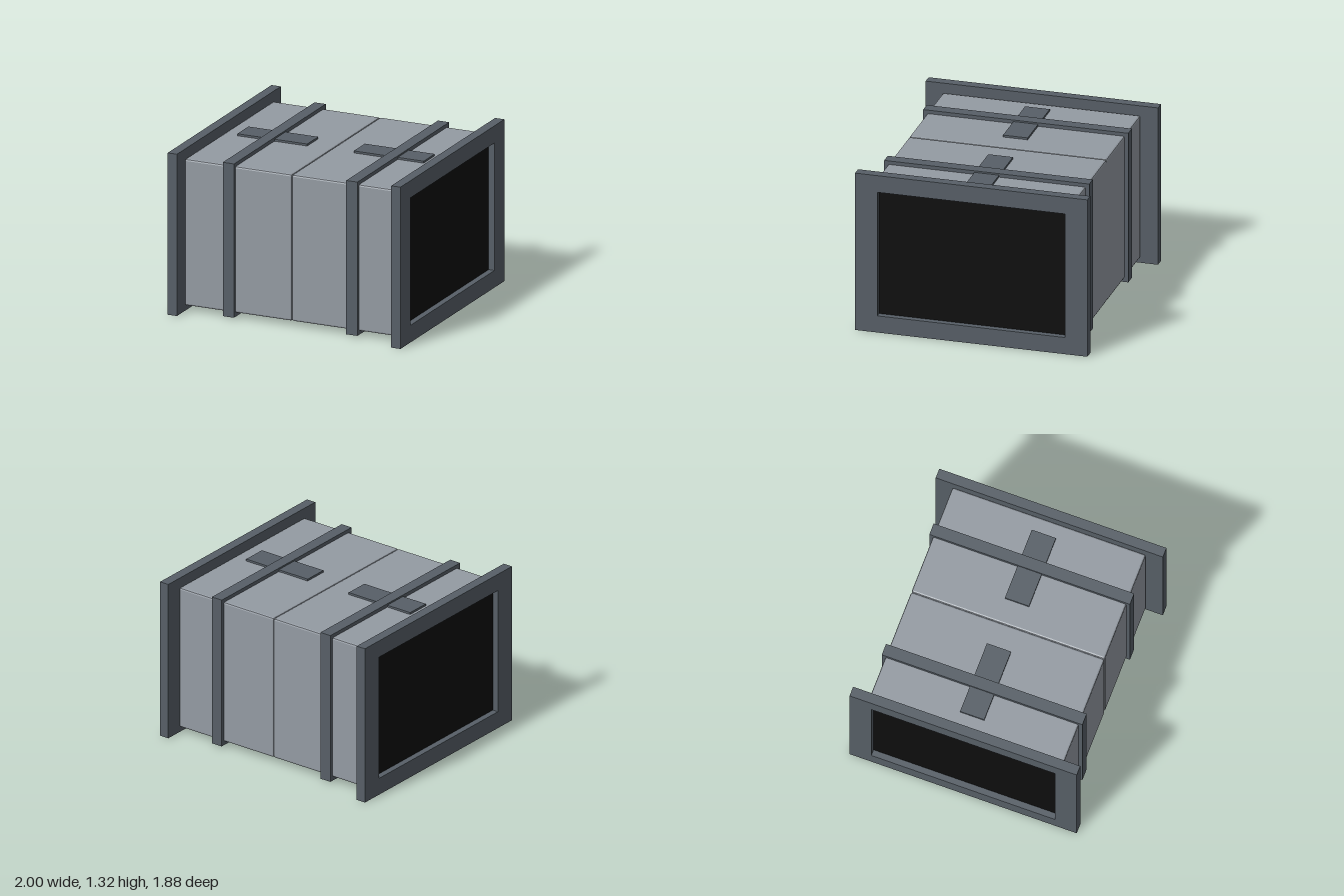
import * as THREE from 'three';
import { RoundedBoxGeometry } from 'three/addons/geometries/RoundedBoxGeometry.js';

const MID_Y = 0.643;

function material(color) {
  return new THREE.MeshStandardMaterial({ color, flatShading: true });
}

// Rectangular ring lying in the z-y plane, extruded along x and centred on x = 0
function ringGeometry(width, y0, y1, holeWidth, h0, h1, thickness) {
  const rect = (target, w, a, b) => {
    target.moveTo(-w / 2, a);
    target.lineTo(w / 2, a);
    target.lineTo(w / 2, b);
    target.lineTo(-w / 2, b);
    target.closePath();
    return target;
  };
  const shape = rect(new THREE.Shape(), width, y0, y1);
  shape.holes.push(rect(new THREE.Path(), holeWidth, h0, h1));
  const geometry = new THREE.ExtrudeGeometry(shape, { depth: thickness, bevelEnabled: false });
  geometry.translate(0, 0, -thickness / 2);
  geometry.rotateY(Math.PI / 2);
  return geometry;
}

export function createModel() {
  const group = new THREE.Group();
  group.name = 'container';
  const shellMat = material(0x949ba3);
  const trimMat = material(0x575f67);
  const panelMat = material(0x0d0d0d);

  const add = (name, geometry, mat, x, y, z) => {
    const mesh = new THREE.Mesh(geometry, mat);
    mesh.name = name;
    mesh.position.set(x, y, z);
    group.add(mesh);
  };

  const shell = new RoundedBoxGeometry(0.92, 1.195, 1.6, 1, 0.015);
  const endFrame = ringGeometry(1.88, 0, 1.32, 1.52, 0.14, 1.18, 0.08);
  const endPanel = new THREE.BoxGeometry(0.05, 1.06, 1.54);
  const strap = ringGeometry(1.66, 0.015, 1.27, 1.56, 0.07, 1.215, 0.096);
  const topPlate = new THREE.BoxGeometry(0.6, 0.03, 0.2);

  for (const [label, s] of [['left', 1], ['right', -1]]) {
    // Chamfered half of the body, meeting the other half at a central seam
    add(label + 'Shell', shell, shellMat, s * 0.46, MID_Y, 0);
    // Raised end frame around a recessed dark panel
    add(label + 'EndFrame', endFrame, trimMat, s * 0.96, 0, 0);
    add(label + 'EndPanel', endPanel, panelMat, s * 0.925, 0.66, 0);
    // Strap wrapping the body, and the flat plate under it on top
    add(label + 'Strap', strap, trimMat, s * 0.53, 0, 0);
    add(label + 'TopPlate', topPlate, trimMat, s * 0.5, 1.242, 0);
  }
  return group;
}
